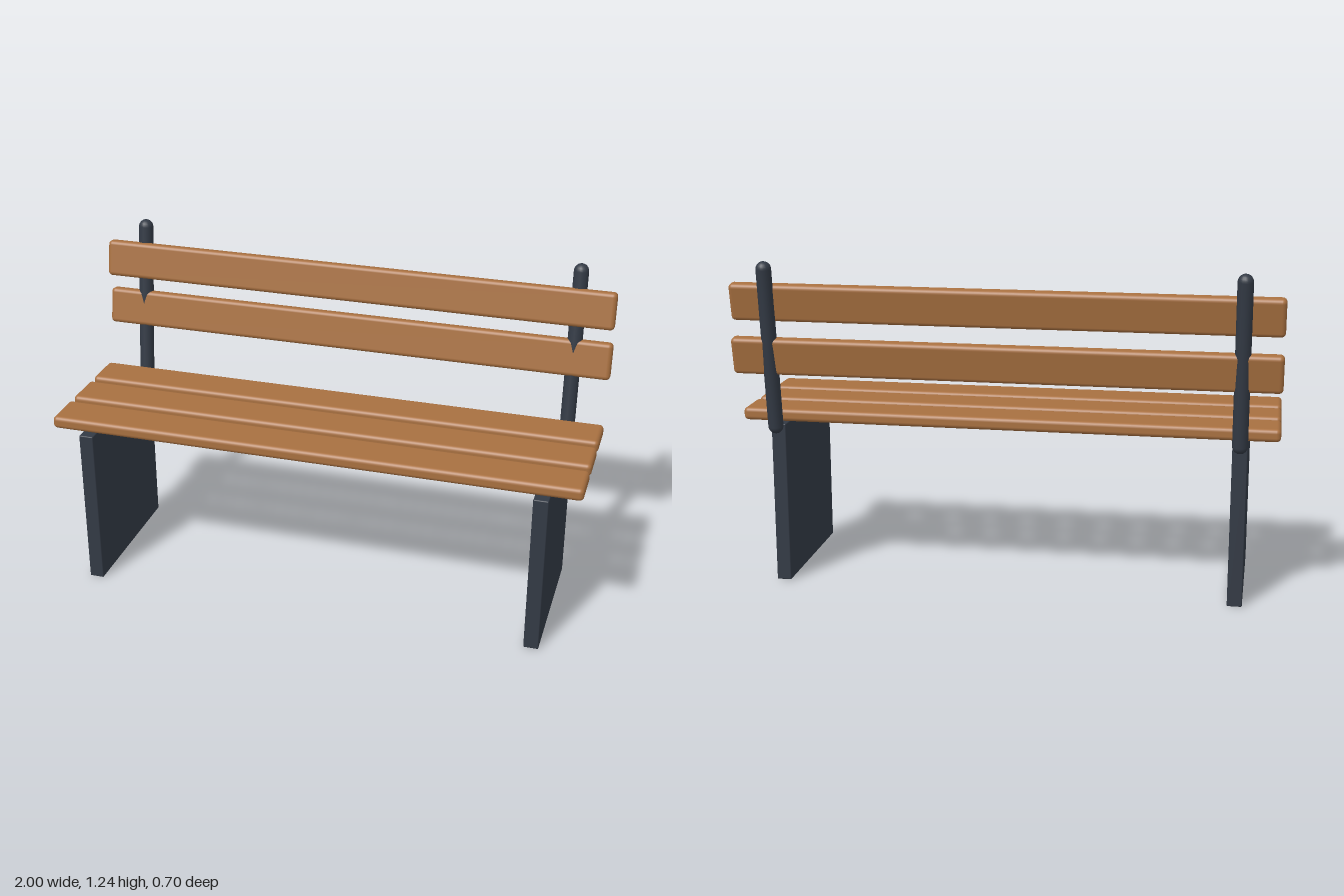
import * as THREE from 'three';
import { RoundedBoxGeometry } from 'three/addons/geometries/RoundedBoxGeometry.js';

export function createModel() {
  const group = new THREE.Group();
  const wood = new THREE.MeshStandardMaterial({ color: 0xa87040 });
  const iron = new THREE.MeshStandardMaterial({ color: 0x333a45 });

  const add = (name, geometry, material, x, y, z, tilt = 0) => {
    const mesh = new THREE.Mesh(geometry, material);
    mesh.name = name;
    mesh.position.set(x, y, z);
    mesh.rotation.x = tilt;
    group.add(mesh);
  };

  // Seat: three flat slats
  const seatSlat = new RoundedBoxGeometry(2, 0.048, 0.156, 3, 0.016);
  [0.252, 0.066, -0.121].forEach((z, i) => add('seatSlat' + (i + 1), seatSlat, wood, 0, 0.645, z));

  // Backrest: two slats leaning back
  const backSlat = new RoundedBoxGeometry(2, 0.14, 0.047, 3, 0.016);
  add('lowerBackSlat', backSlat, wood, 0, 0.89, -0.276, -0.18);
  add('upperBackSlat', backSlat, wood, 0, 1.09, -0.277, -0.18);

  // Side panels and the round-ended back posts, mirrored
  const panel = new RoundedBoxGeometry(0.055, 0.617, 0.57, 2, 0.004);
  const bottom = new THREE.Vector3(0, 0.617, -0.249);
  const top = new THREE.Vector3(0, 1.217, -0.321);
  const span = top.clone().sub(bottom);
  const middle = bottom.clone().add(top).multiplyScalar(0.5);
  const post = new THREE.CapsuleGeometry(0.028, span.length(), 6, 16);
  for (const [side, x] of [['left', 0.857], ['right', -0.857]]) {
    add(side + 'SidePanel', panel, iron, x, 0.3085, 0.065);
    add(side + 'BackPost', post, iron, x, middle.y, middle.z, Math.atan2(span.z, span.y));
  }
  return group;
}
